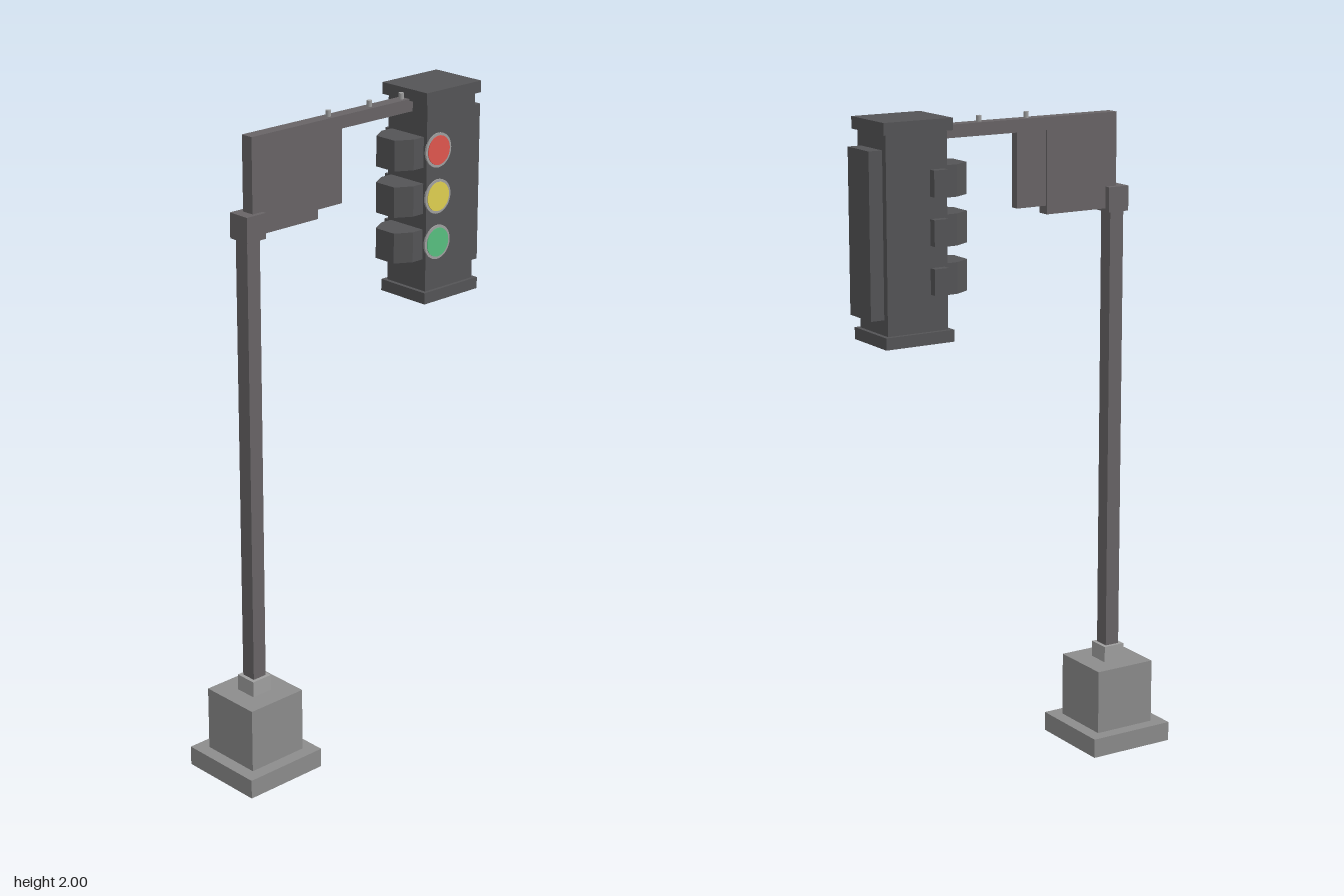
import * as THREE from 'three';

const material = (color) => new THREE.MeshStandardMaterial({ color });

export function createModel() {
  const model = new THREE.Group();
  const concrete = material(0x8c8c8c);
  const metal = material(0x686466);
  const housing = material(0x545456);
  const trim = material(0xa0a0a0);

  const add = (name, geometry, mat, x = 0, y = 0, z = 0) => {
    const mesh = new THREE.Mesh(geometry, mat);
    mesh.name = name;
    mesh.position.set(x, y, z);
    model.add(mesh);
    return mesh;
  };
  // Box given by its extents along each axis
  const box = (name, mat, [x0, x1], [y0, y1], [z0, z1]) =>
    add(name, new THREE.BoxGeometry(x1 - x0, y1 - y0, z1 - z0), mat,
      (x0 + x1) / 2, (y0 + y1) / 2, (z0 + z1) / 2);

  // Stepped concrete foot
  box('footing', concrete, [-0.5, -0.22], [0, 0.06], [-0.14, 0.14]);
  box('pedestal', concrete, [-0.46, -0.26], [0.06, 0.26], [-0.1, 0.1]);
  box('poleCollar', trim, [-0.397, -0.327], [0.26, 0.31], [-0.035, 0.035]);

  // Square pole, bracket and overhead arm
  box('pole', metal, [-0.385, -0.338], [0.31, 1.7], [-0.024, 0.024]);
  box('poleBracket', metal, [-0.393, -0.323], [1.675, 1.75], [-0.038, 0.034]);
  box('arm', metal, [-0.36, 0.26], [1.932, 1.97], [-0.02, 0.02]);

  // Gusset plates hanging under the arm
  box('largeGusset', metal, [-0.36, -0.115], [1.685, 1.932], [-0.02, 0.02]);
  box('smallGusset', metal, [-0.115, -0.015], [1.71, 1.932], [-0.014, 0.014]);

  // Studs on top of the arm
  for (const x of [-0.055, 0.105, 0.232]) {
    add('armStud', new THREE.CylinderGeometry(0.008, 0.008, 0.02, 10), trim, x, 1.978, 0);
  }

  // Signal housing with end caps and a side cover
  box('signalHousing', housing, [0.26, 0.457], [1.39, 1.97], [-0.08, 0.08]);
  box('bottomCap', housing, [0.247, 0.47], [1.36, 1.395], [-0.093, 0.091]);
  box('topCap', housing, [0.247, 0.47], [1.965, 2], [-0.093, 0.091]);
  box('sideCover', housing, [0.457, 0.5], [1.44, 1.92], [-0.06, 0.06]);

  // Tapered hood outline, extruded upward
  const hoodShape = new THREE.Shape([
    [0.26, -0.067], [0.26, 0.067], [0.22, 0.067],
    [0.17, 0.038], [0.17, -0.038], [0.22, -0.067],
  ].map(([x, z]) => new THREE.Vector2(x, z)));
  const hoodGeometry = new THREE.ExtrudeGeometry(hoodShape, { depth: 0.092, bevelEnabled: false });
  hoodGeometry.rotateX(-Math.PI / 2);

  // Each lamp has a lens and ring in front, a hood at the side and a box behind
  const lamps = [['red', 0xe0564e, 1.82], ['yellow', 0xe0d050, 1.68], ['green', 0x58c080, 1.54]];
  for (const [name, color, y] of lamps) {
    const ring = add(name + 'LampRing', new THREE.CylinderGeometry(0.052, 0.052, 0.006, 32), trim, 0.305, y, 0.081);
    const lens = add(name + 'Lens', new THREE.CylinderGeometry(0.044, 0.044, 0.008, 32), material(color), 0.305, y, 0.082);
    ring.rotation.x = lens.rotation.x = Math.PI / 2;
    add(name + 'Hood', hoodGeometry, housing, 0, y - 0.048, 0);
    box(name + 'RearBox', housing, [0.27, 0.316], [y - 0.038, y + 0.038], [-0.104, -0.08]);
  }
  return model;
}
